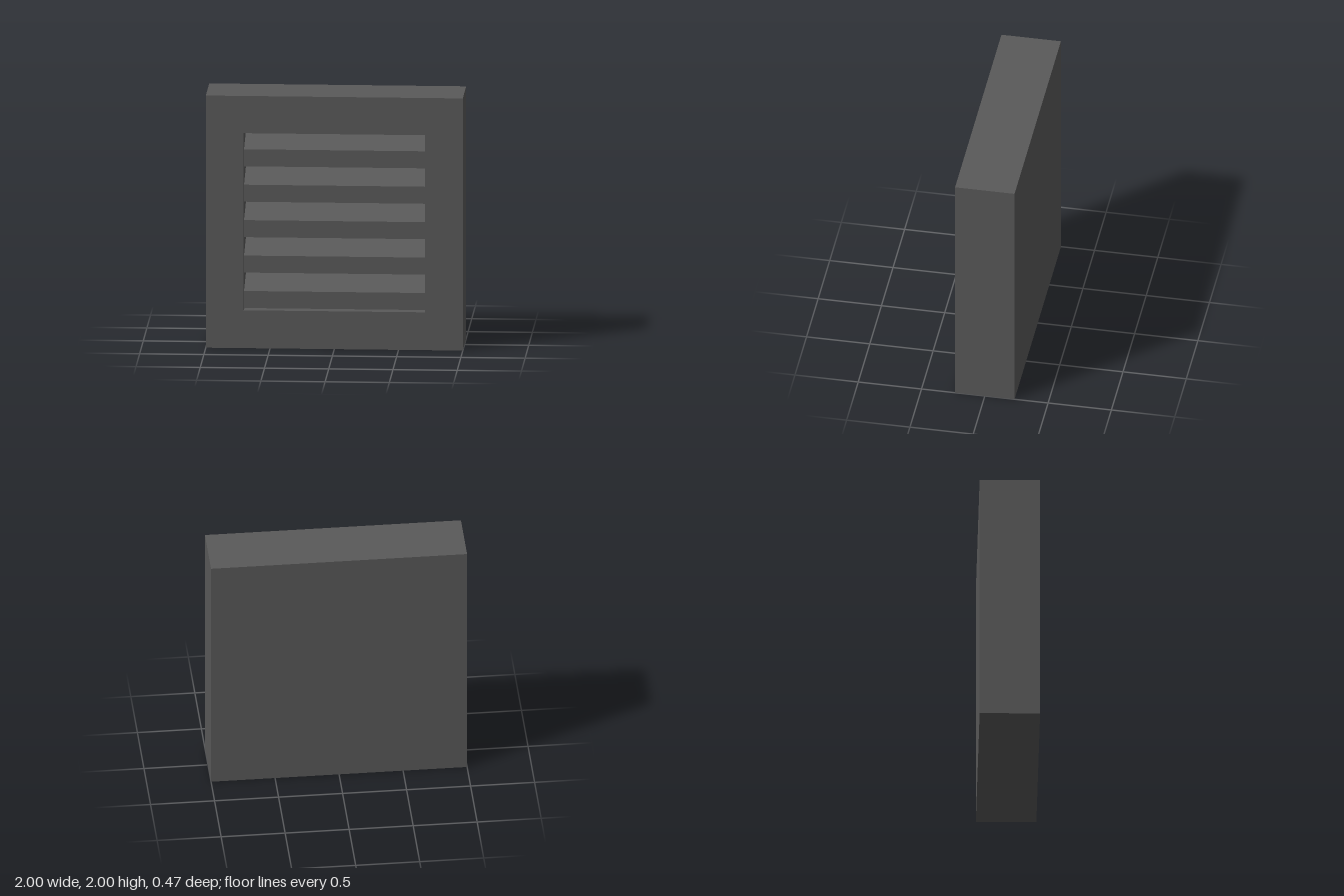
import * as THREE from 'three';

const FRONT = 0.235, BACK = -0.235, WALL = -0.19; // z of front face, rear face, recess floor
const HALF = 0.705, LOW = 0.3, HIGH = 1.705;      // opening
const SLATS = 5;

function rectangle(PathType, x0, y0, x1, y1) {
  const p = new PathType();
  p.moveTo(x0, y0);
  p.lineTo(x1, y0);
  p.lineTo(x1, y1);
  p.lineTo(x0, y1);
  p.closePath();
  return p;
}

export function createModel() {
  const group = new THREE.Group();
  group.name = 'louvredVent';
  const darkGrey = new THREE.MeshStandardMaterial({ color: 0x595959 });
  darkGrey.name = 'darkGrey';

  const add = (name, geometry, x, y, z) => {
    const mesh = new THREE.Mesh(geometry, darkGrey);
    mesh.name = name;
    mesh.position.set(x, y, z);
    group.add(mesh);
    return mesh;
  };

  // Square frame around the opening
  const outline = rectangle(THREE.Shape, -1, 0, 1, 2);
  outline.holes.push(rectangle(THREE.Path, -HALF, LOW, HALF, HIGH));
  add('frame', new THREE.ExtrudeGeometry(outline, { depth: FRONT - WALL, bevelEnabled: false }), 0, 0, WALL);

  // Closed back panel
  add('backPanel', new THREE.BoxGeometry(2, 2, WALL - BACK), 0, 1, (WALL + BACK) / 2);

  // Slat profile (x = distance behind the slat front, y = height), sloping up to the back
  const depth = 0.195 - WALL, rise = 0.13;
  const profile = new THREE.Shape([
    new THREE.Vector2(0, 0.01),
    new THREE.Vector2(depth, 0.01 + rise),
    new THREE.Vector2(depth, 0.145 + rise),
    new THREE.Vector2(0, 0.145),
  ]);
  const slat = new THREE.ExtrudeGeometry(profile, { depth: 2 * HALF, bevelEnabled: false });
  slat.rotateY(Math.PI / 2); // profile depth runs to -z, extrusion along +x
  const pitch = (HIGH - LOW) / SLATS;
  for (let i = 0; i < SLATS; i++) add('slat' + (i + 1), slat, -HALF, LOW + i * pitch, 0.195);

  return group;
}
